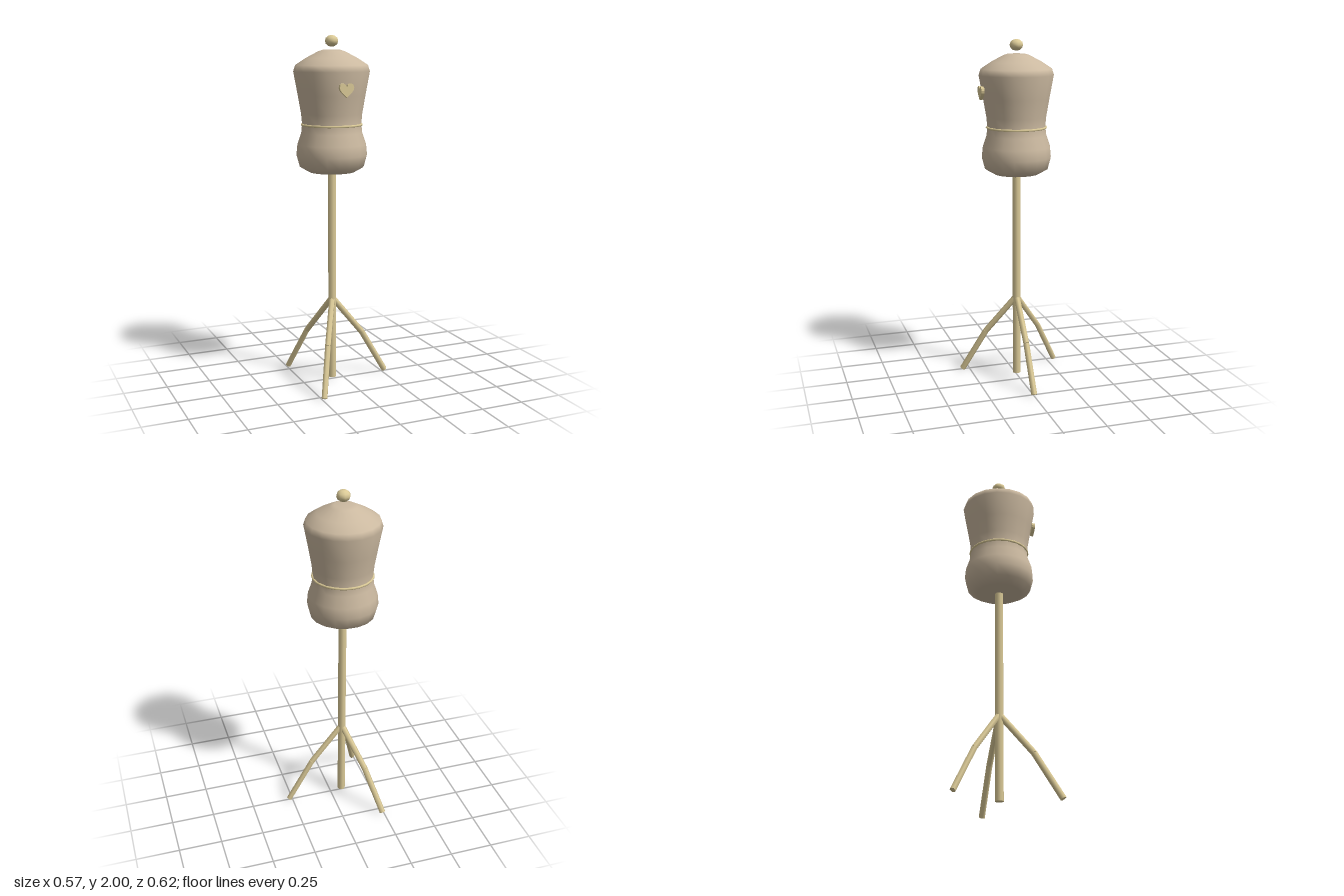
import * as THREE from 'three';

const fabric = new THREE.MeshStandardMaterial({ color: 0xcbb9a0 });
const wood = new THREE.MeshStandardMaterial({ color: 0xdccb98 });

function add(parent, name, geometry, material, y = 0) {
  const mesh = new THREE.Mesh(geometry, material);
  mesh.name = name;
  mesh.position.y = y;
  parent.add(mesh);
  return mesh;
}

// Straight six-sided rod between two points, lying in the x-y plane
function rod(parent, name, a, b, radius) {
  const dir = b.clone().sub(a);
  const geo = new THREE.CylinderGeometry(radius, radius, dir.length(), 6);
  geo.rotateY(Math.PI / 2); // puts a ridge along the upper side
  const mesh = add(parent, name, geo, wood);
  mesh.quaternion.setFromUnitVectors(new THREE.Vector3(0, 1, 0), dir.normalize());
  mesh.position.copy(a).add(b).multiplyScalar(0.5);
}

function heartGeometry(w, h, depth) {
  const s = new THREE.Shape();
  s.moveTo(0, -h / 2);
  s.bezierCurveTo(w * 0.15, -h * 0.3, w / 2, -h * 0.1, w / 2, h * 0.2);
  s.bezierCurveTo(w / 2, h * 0.6, w * 0.08, h * 0.6, 0, h * 0.24);
  s.bezierCurveTo(-w * 0.08, h * 0.6, -w / 2, h * 0.6, -w / 2, h * 0.2);
  s.bezierCurveTo(-w / 2, -h * 0.1, -w * 0.15, -h * 0.3, 0, -h / 2);
  return new THREE.ExtrudeGeometry(s, { depth, bevelEnabled: false, curveSegments: 5 });
}

export function createModel() {
  const model = new THREE.Group();
  model.name = 'dressForm';
  model.position.x = -0.071;
  const root = new THREE.Group();
  root.name = 'stand';
  root.position.copy(model.position);
  model.position.set(0, 0, 0);
  model.add(root);

  // Padded torso
  const profile = [
    [0, 1.238], [0.13, 1.238], [0.182, 1.268], [0.2, 1.335], [0.194, 1.395],
    [0.172, 1.46], [0.167, 1.51], [0.172, 1.565], [0.19, 1.67], [0.214, 1.8],
    [0.203, 1.835], [0.145, 1.873], [0.075, 1.91], [0.05, 1.918], [0, 1.918],
  ].map(([r, y]) => new THREE.Vector2(r, y));
  add(root, 'torso', new THREE.LatheGeometry(profile, 18, Math.PI / 2), fabric);

  // Waist cord
  const cord = new THREE.TorusGeometry(0.168, 0.007, 6, 24);
  cord.rotateX(Math.PI / 2);
  add(root, 'waistCord', cord, wood, 1.505);

  // Neck knob, slightly flattened
  const knob = new THREE.SphereGeometry(0.04, 8, 6);
  knob.scale(1, 0.82, 1);
  add(root, 'neckKnob', knob, wood, 1.967);

  // Heart badge on the chest
  add(root, 'heartBadge', heartGeometry(0.084, 0.076, 0.018), wood, 1.703).position.z = 0.198;

  // Centre pole
  add(root, 'pole', new THREE.CylinderGeometry(0.024, 0.024, 1.235, 8), wood, 0.6325);

  // Three bent legs
  const joints = [[0.005, 0.492], [0.19, 0.265], [0.34, 0.009]].map(([x, y]) => new THREE.Vector3(x, y, 0));
  for (let i = 0; i < 3; i++) {
    const leg = new THREE.Group();
    leg.name = 'leg' + (i + 1);
    leg.rotation.y = (i * Math.PI * 2) / 3;
    rod(leg, 'upperLeg', joints[0], joints[1], 0.0175);
    rod(leg, 'lowerLeg', joints[1], joints[2], 0.0175);
    root.add(leg);
  }
  return model;
}
